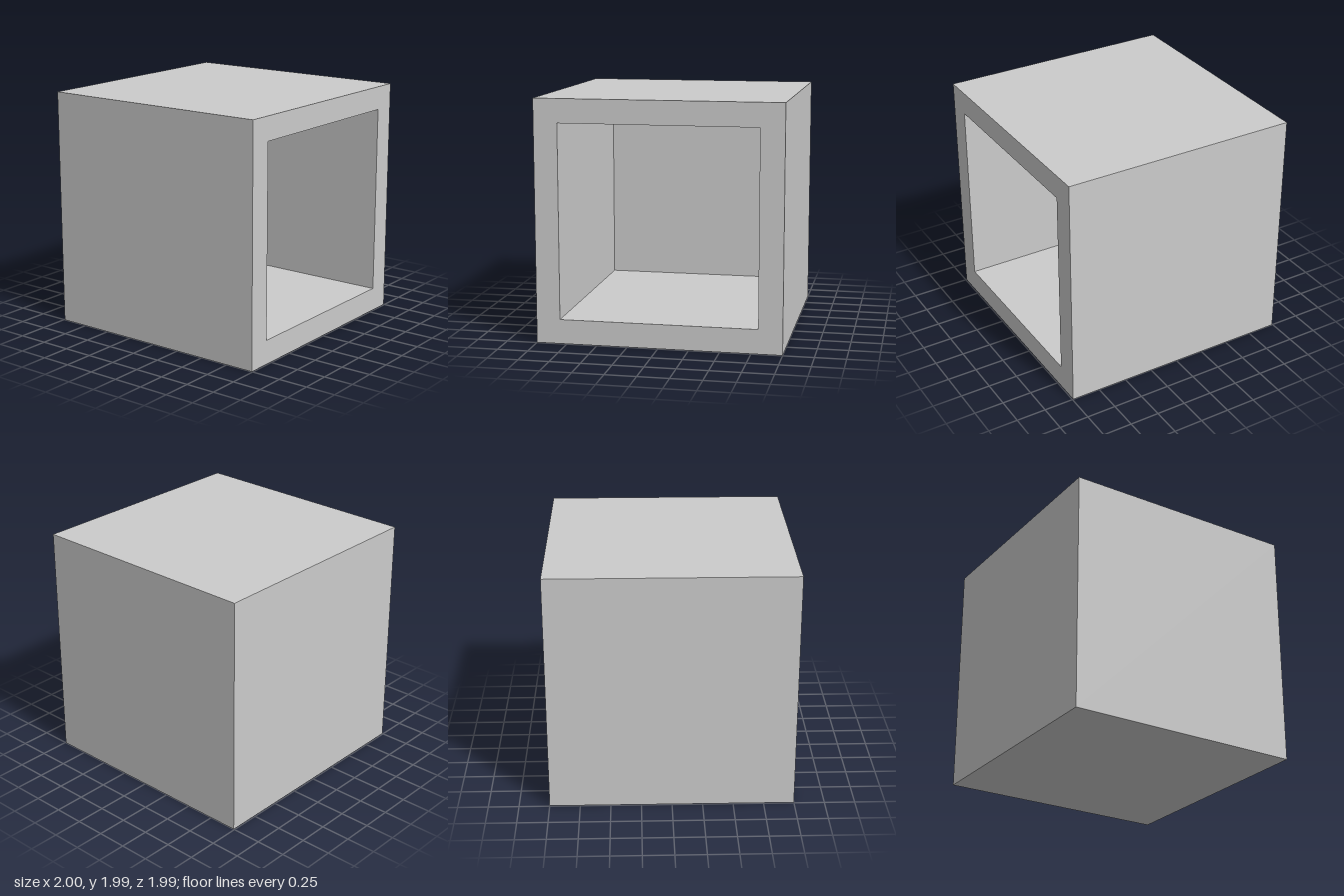
import * as THREE from 'three';

const W = 2, H = 1.985, D = 1.985;            // outer size
const OPEN = { w: 1.61, y0: 0.2, y1: 1.79 };  // front opening
const CAVITY = 1.845;                         // depth of the hollow

// Box with its front (+z) face removed; inward = true turns it inside out
function openBox(w, h, d, inward) {
  const geo = new THREE.BoxGeometry(w, h, d);
  const index = Array.from(geo.index.array);
  index.splice(24, 6);
  if (inward) {
    index.reverse();
    const n = geo.attributes.normal;
    for (let i = 0; i < n.count; i++) n.setXYZ(i, -n.getX(i), -n.getY(i), -n.getZ(i));
  }
  geo.setIndex(index);
  geo.clearGroups();
  return geo;
}

// Counter-clockwise rectangle corners, centred on x
function rect(w, y0, y1) {
  return [[-w / 2, y0], [w / 2, y0], [w / 2, y1], [-w / 2, y1]].map(([x, y]) => new THREE.Vector2(x, y));
}

export function createModel() {
  const group = new THREE.Group();
  group.name = 'openCube';
  const material = new THREE.MeshStandardMaterial({ color: 0xcccccc });
  const add = (name, geo, y, z) => {
    const mesh = new THREE.Mesh(geo, material);
    mesh.name = name;
    mesh.position.set(0, y, z);
    group.add(mesh);
  };

  // Outer walls: sides, top, bottom and closed back
  add('outerShell', openBox(W, H, D, false), H / 2, 0);

  // Hollow interior with a back wall
  add('innerCavity', openBox(OPEN.w, OPEN.y1 - OPEN.y0, CAVITY, true),
    (OPEN.y0 + OPEN.y1) / 2, D / 2 - CAVITY / 2);

  // Front rim joining the outer and inner walls
  const rim = new THREE.Shape(rect(W, 0, H));
  rim.holes.push(new THREE.Path(rect(OPEN.w, OPEN.y0, OPEN.y1).reverse()));
  add('frontRim', new THREE.ShapeGeometry(rim), 0, D / 2);

  return group;
}
